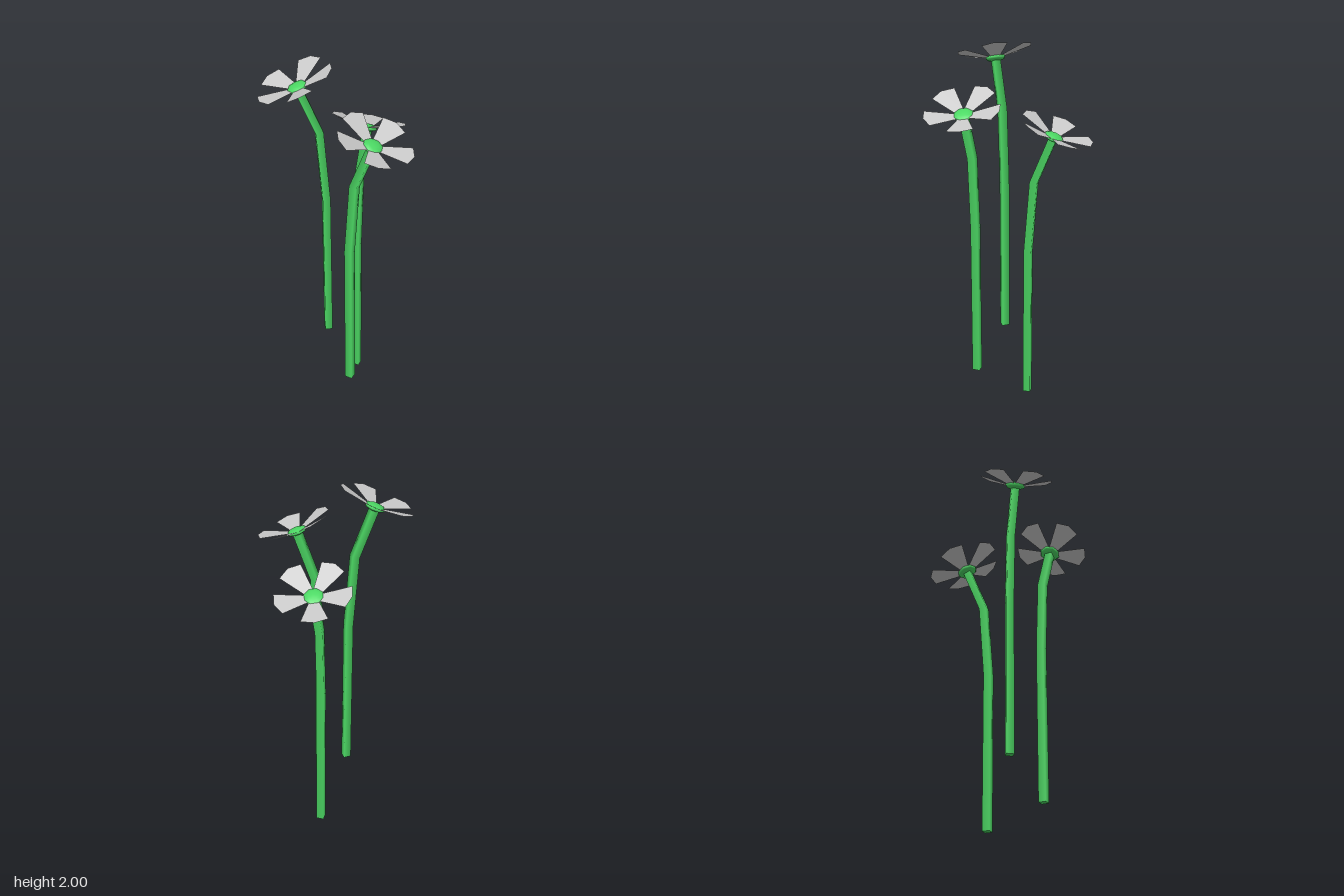
import * as THREE from 'three';

const GREEN = new THREE.MeshStandardMaterial({ color: 0x4cd964 });
const PETAL = new THREE.MeshStandardMaterial({ color: 0xcccccc, side: THREE.DoubleSide });

const TILT = 0.385; // lean of the flower head

// Stem centre line: lateral offset, height, ring tilt
const STEM = [[0, 0, 0], [0, 0.865, 0.04], [0.03, 1.27, 0.23], [0.133, 1.525, TILT]];

// Square stem, its rings moved onto the bent centre line
function stemGeometry() {
  const geo = new THREE.CylinderGeometry(0.029, 0.029, 3, 4, 3);
  geo.rotateY(Math.PI / 4);
  const pos = geo.attributes.position;
  for (let i = 0; i < pos.count; i++) {
    const [cx, cy, a] = STEM[Math.round(pos.getY(i) + 1.5)];
    const x = pos.getX(i);
    pos.setXYZ(i, cx + x * Math.cos(a), cy - x * Math.sin(a), pos.getZ(i));
  }
  return geo;
}

// Flat petal pointing along +x, widening to a three-point tip
function petalGeometry() {
  const outline = [[0.025, -0.022], [0.192, -0.069], [0.213, 0], [0.192, 0.069], [0.025, 0.022]];
  const geo = new THREE.ShapeGeometry(new THREE.Shape(outline.map(p => new THREE.Vector2(...p))));
  geo.rotateX(-Math.PI / 2);
  geo.rotateZ(0.25); // cupped upwards
  return geo;
}

export function createModel() {
  const model = new THREE.Group();
  model.name = 'flowers';
  const stemGeo = stemGeometry();
  const petalGeo = petalGeometry();
  const centreGeo = new THREE.SphereGeometry(0.056, 8, 6).scale(1, 0.35, 1);

  // Base x, y, z and the direction each flower leans (degrees from +x towards +z)
  const flowers = [[-0.125, 0.355, 0.11, 133], [-0.055, 0, -0.07, -101], [0.082, 0.145, 0.183, -5]];
  for (const [x, y, z, lean] of flowers) {
    const flower = new THREE.Group();
    flower.name = 'flower';
    flower.position.set(x, y, z);
    flower.rotation.y = -THREE.MathUtils.degToRad(lean);

    const stem = new THREE.Mesh(stemGeo, GREEN);
    stem.name = 'stem';

    // Head: domed centre with five petals
    const head = new THREE.Group();
    head.name = 'flowerHead';
    head.position.set(STEM[3][0], STEM[3][1], 0);
    head.rotation.z = -TILT;
    const centre = new THREE.Mesh(centreGeo, GREEN);
    centre.name = 'flowerCentre';
    centre.position.y = 0.006;
    head.add(centre);
    for (let i = 0; i < 5; i++) {
      const petal = new THREE.Mesh(petalGeo, PETAL);
      petal.name = 'petal';
      petal.rotation.y = -THREE.MathUtils.degToRad(54 + 72 * i);
      head.add(petal);
    }
    flower.add(stem, head);
    model.add(flower);
  }
  return model;
}
